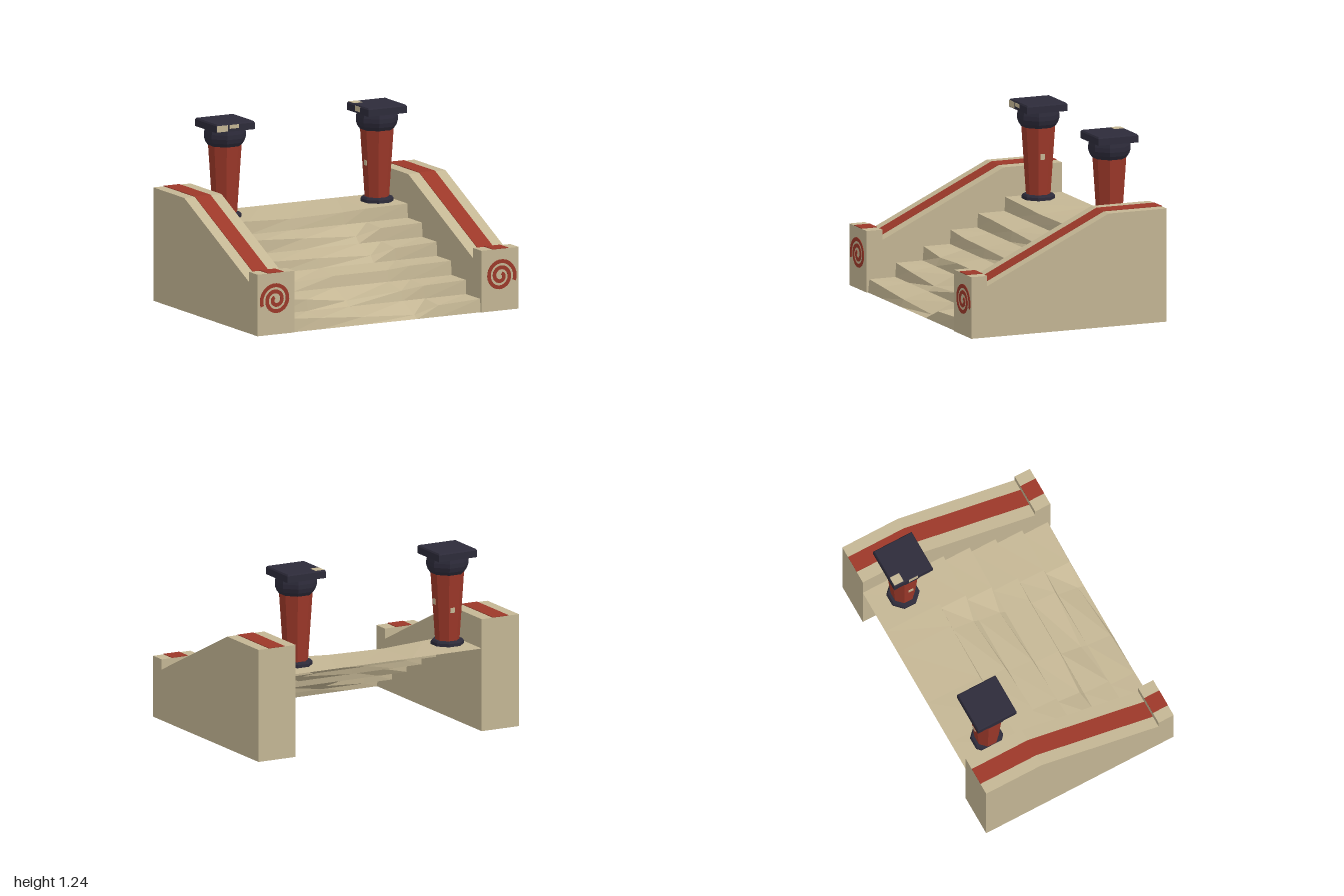
import * as THREE from 'three';

const stone = new THREE.MeshStandardMaterial({ color: 0xc4b694, side: THREE.DoubleSide });
stone.name = 'sandstone';
const red = new THREE.MeshStandardMaterial({ color: 0x9c3829 });
red.name = 'paintedRed';
const dark = new THREE.MeshStandardMaterial({ color: 0x2d2b3a });
dark.name = 'darkSlate';

function add(parent, name, geometry, material) {
  const mesh = new THREE.Mesh(geometry, material);
  mesh.name = name;
  parent.add(mesh);
  return mesh;
}

// Extrude a (z, y) outline sideways, from x0 to x1
function sideExtrude(points, x0, x1) {
  const shape = new THREE.Shape(points.map(([z, y]) => new THREE.Vector2(z, y)));
  const g = new THREE.ExtrudeGeometry(shape, { depth: x1 - x0, bevelEnabled: false });
  return g.rotateY(-Math.PI / 2).translate(x1, 0, 0);
}

// Faceted turned form; radii are measured to the middle of a flat side
function faceted(profile, sides) {
  const k = 1 / Math.cos(Math.PI / sides);
  const pts = profile.map(([r, y]) => new THREE.Vector2(r * k, y));
  const g = new THREE.LatheGeometry(pts, sides, Math.PI / sides).toNonIndexed();
  g.computeVertexNormals();
  return g;
}

// Worn stair surface: each front edge sags and recedes at a few stations
const STATIONS = [-0.715, -0.5, -0.18, 0.23, 0.4, 0.715];
const SAG = [
  [0, 0.015, 0.04, 0.07, 0.015, 0],
  [0, 0.02, 0.065, 0.03, 0.01, 0],
  [0, 0.04, 0.02, 0.02, 0.005, 0],
  [0, 0.02, 0.03, 0.055, 0.015, 0],
  [0, 0.005, 0.025, 0.055, 0.008, 0],
  [0, 0.008, 0.022, 0.015, 0.005, 0],
];
const RECEDE = [
  [0.01, 0.012, 0.02, 0.045, 0.015, 0.01],
  [0.005, 0.01, 0.047, 0.018, 0.01, 0.005],
  [0.008, 0.032, 0.016, 0.016, 0.012, 0.008],
  [0.005, 0.01, 0.018, 0.042, 0.01, 0.005],
  [0.005, 0.008, 0.02, 0.042, 0.007, 0.005],
  [0.005, 0.01, 0.018, 0.014, 0.008, 0.005],
];

function stairGeometry() {
  const rows = [];
  for (let i = 0; i < 6; i++) {
    const z = 0.705 - i * 0.2, below = i ? 0.09 + (i - 1) * 0.096 : 0, top = 0.09 + i * 0.096;
    rows.push(STATIONS.map(x => [x, below, z]));
    rows.push(STATIONS.map((x, j) => [x, top - SAG[i][j], z - RECEDE[i][j]]));
  }
  rows.push(STATIONS.map(x => [x, 0.57, -0.715]));
  const pos = [];
  for (let r = 0; r + 1 < rows.length; r++) {
    for (let j = 0; j + 1 < STATIONS.length; j++) {
      const a = rows[r][j], b = rows[r][j + 1], c = rows[r + 1][j + 1], d = rows[r + 1][j];
      pos.push(...a, ...b, ...c, ...a, ...c, ...d);
    }
  }
  const g = new THREE.BufferGeometry();
  g.setAttribute('position', new THREE.Float32BufferAttribute(pos, 3));
  g.computeVertexNormals();
  return g;
}

// Flat spiral ribbon, mirrored by s
function spiralGeometry(s) {
  const outer = [], inner = [], n = 56;
  for (let i = 0; i <= n; i++) {
    const t = i / n, a = (200 - 800 * t) * Math.PI / 180;
    const r = 0.112 - 0.094 * t, w = 0.013;
    outer.push(new THREE.Vector2(-s * (r + w) * Math.cos(a), (r + w) * Math.sin(a)));
    inner.push(new THREE.Vector2(-s * (r - w) * Math.cos(a), (r - w) * Math.sin(a)));
  }
  const shape = new THREE.Shape([...outer, ...inner.reverse()]);
  return new THREE.ExtrudeGeometry(shape, { depth: 0.004, bevelEnabled: false });
}

function buildWall(s) {
  const wall = new THREE.Group();
  wall.name = s > 0 ? 'leftWall' : 'rightWall';
  const span = (a, b) => (s > 0 ? [a, b] : [-b, -a]);
  add(wall, 'wallBody', sideExtrude([
    [0.715, 0], [0.715, 0.42], [0.6, 0.42], [0.6, 0.35],
    [-0.29, 0.772], [-0.715, 0.772], [-0.715, 0],
  ], ...span(0.715, 1)), stone);

  // Painted bands on the post top and along the ramp
  const h = 0.004, [x0, x1] = span(0.8, 0.92);
  add(wall, 'postStripe', sideExtrude(
    [[0.715, 0.42], [0.715, 0.42 + h], [0.6, 0.42 + h], [0.6, 0.42]], x0, x1), red);
  add(wall, 'rampStripe', sideExtrude([
    [0.6, 0.35], [0.6, 0.35 + h], [-0.29, 0.772 + h],
    [-0.715, 0.772 + h], [-0.715, 0.772], [-0.29, 0.772],
  ], x0, x1), red);

  const spiral = add(wall, 'spiral', spiralGeometry(s), red);
  spiral.position.set(s * 0.86, 0.237, 0.714);
  return wall;
}

function buildColumn(s) {
  const column = new THREE.Group();
  column.name = s > 0 ? 'leftColumn' : 'rightColumn';
  column.position.set(s * 0.582, 0, -0.482);
  add(column, 'columnBase', faceted(
    [[0, 0.571], [0.103, 0.571], [0.103, 0.592], [0.094, 0.605], [0, 0.605]], 8), dark);
  add(column, 'columnShaft', faceted([[0.076, 0.6], [0.105, 1.07]], 8), red);
  add(column, 'capitalBell', faceted(
    [[0, 1.065], [0.106, 1.065], [0.122, 1.09], [0.131, 1.12], [0.131, 1.15], [0.125, 1.18]], 8), dark);
  add(column, 'capitalSlab', faceted(
    [[0, 1.18], [0.147, 1.18], [0.147, 1.226], [0.14, 1.236], [0, 1.236]], 4), dark);

  // Bare patches where the paint has flaked off
  const chip = (w, h, d, x, y, z) =>
    add(column, 'paintChip', new THREE.BoxGeometry(w, h, d), stone).position.set(x, y, z);
  if (s < 0) {
    chip(0.085, 0.043, 0.006, -0.1, 1.205, 0.146);
    chip(0.07, 0.026, 0.006, -0.01, 1.213, 0.146);
    chip(0.006, 0.04, 0.03, 0.093, 0.87, 0.01);
    chip(0.035, 0.035, 0.006, 0.01, 0.82, -0.09);
  } else {
    chip(0.065, 0.006, 0.07, -0.105, 1.235, -0.105);
    chip(0.006, 0.035, 0.07, -0.146, 1.21, 0);
    chip(0.006, 0.035, 0.035, -0.091, 0.84, 0.01);
  }
  return column;
}

export function createModel() {
  const model = new THREE.Group();
  model.name = 'templeStairs';
  add(model, 'wornSteps', stairGeometry(), stone);
  for (const s of [-1, 1]) {
    model.add(buildWall(s));
    model.add(buildColumn(s));
  }
  return model;
}
